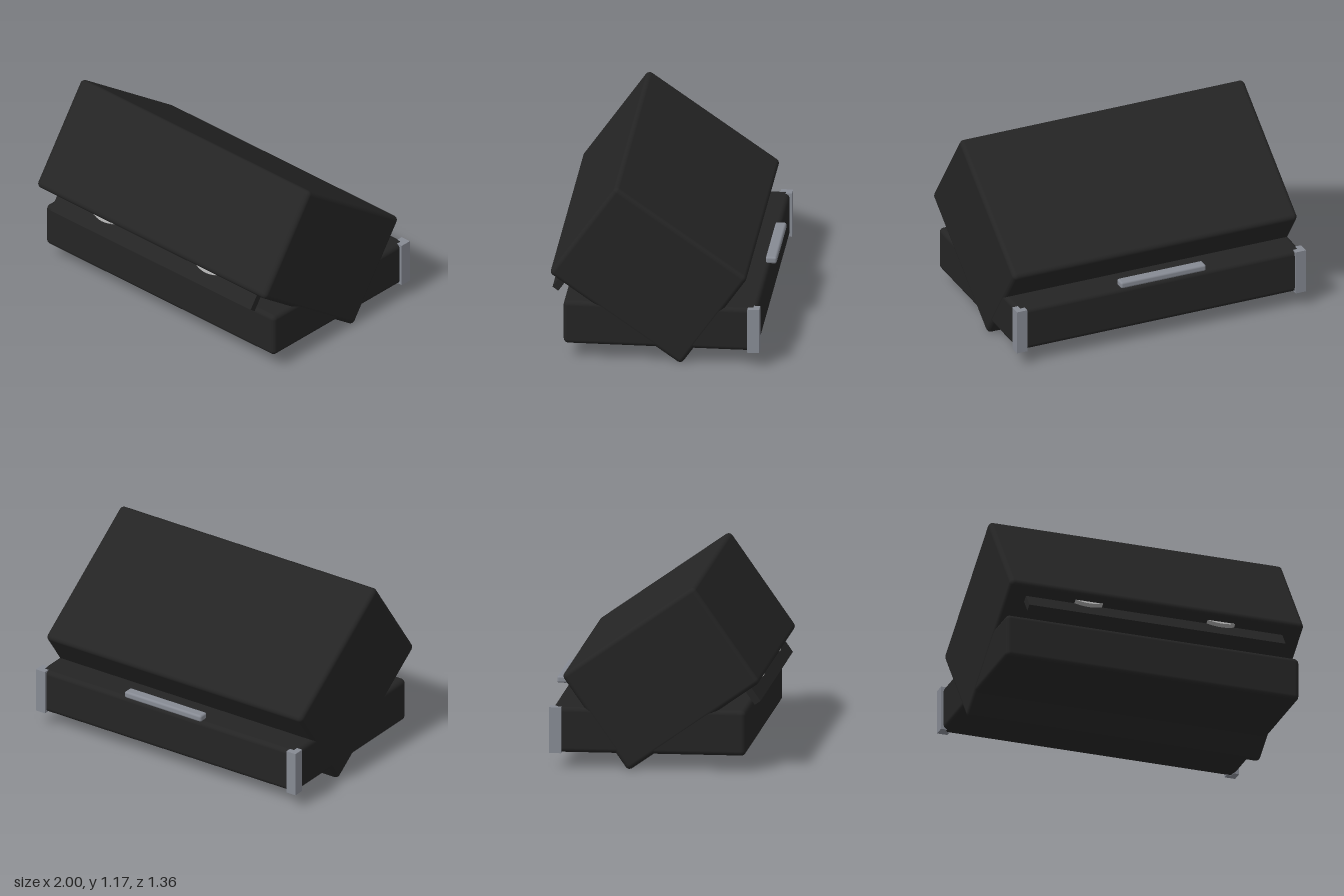
import * as THREE from 'three';
import { RoundedBoxGeometry } from 'three/addons/geometries/RoundedBoxGeometry.js';

const black = new THREE.MeshStandardMaterial({ color: 0x242424 });
black.name = 'black shell';
const steel = new THREE.MeshStandardMaterial({ color: 0x868a93 });
steel.name = 'steel';
const silver = new THREE.MeshStandardMaterial({ color: 0xa4a4a4 });
silver.name = 'silver';

function add(parent, name, geometry, material, x, y, z) {
  const mesh = new THREE.Mesh(geometry, material);
  mesh.name = name;
  mesh.position.set(x, y, z);
  parent.add(mesh);
  return mesh;
}

export function createModel() {
  const model = new THREE.Group();
  model.name = 'openCase';

  // Flat lower tray
  add(model, 'base', new RoundedBoxGeometry(1.966, 0.29, 1.23, 3, 0.03), black, 0, 0.245, -0.015);

  // Upper box, tipped back; its lowest edge passes through the tray
  const lid = new THREE.Group();
  lid.name = 'tiltedLid';
  lid.position.set(0, 0.585, 0.061);
  lid.rotation.x = -THREE.MathUtils.degToRad(35);
  model.add(lid);
  add(lid, 'lidShell', new RoundedBoxGeometry(1.97, 0.74, 1.025, 3, 0.03), black, 0, 0, 0);

  // Lip hanging below the lid's front edge
  add(lid, 'frontLip', new THREE.BoxGeometry(1.72, 0.14, 0.045), black, 0, -0.408, 0.4);

  // Discs set in the lid, only their lower rims showing
  for (const side of [-1, 1]) {
    const disc = add(lid, 'disc', new THREE.CylinderGeometry(0.21, 0.21, 0.065, 48),
      silver, side * 0.443, -0.182, 0.417);
    disc.rotation.x = Math.PI / 2;
  }

  // L-shaped guards on the rear corners, running the height of the tray
  for (const side of [-1, 1]) {
    const outline = [[1, 0.645], [0.93, 0.645], [0.93, 0.605], [0.96, 0.605], [0.96, 0.57], [1, 0.57]];
    const shape = new THREE.Shape(outline.map(([x, z]) => new THREE.Vector2(side * x, z)));
    const guard = new THREE.ExtrudeGeometry(shape, { depth: 0.294, bevelEnabled: false });
    guard.rotateX(-Math.PI / 2);
    add(model, 'cornerGuard', guard, steel, 0, 0.098, 0);
  }

  // Rear handle bar
  add(model, 'handle', new RoundedBoxGeometry(0.59, 0.045, 0.07, 3, 0.014), steel, 0, 0.44, -0.645);

  return model;
}
